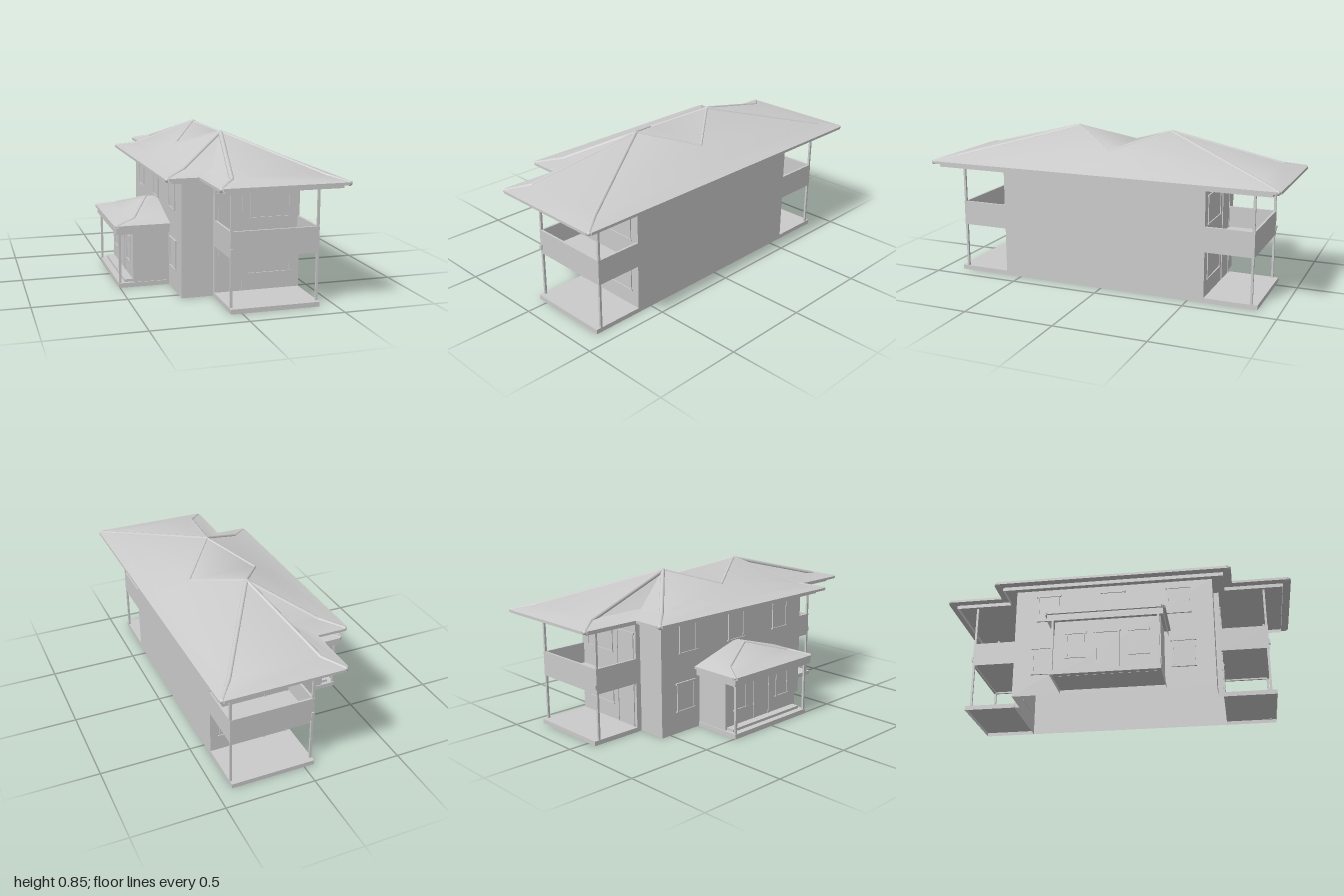
import * as THREE from 'three';
import { toCreasedNormals } from 'three/addons/utils/BufferGeometryUtils.js';

const material = new THREE.MeshStandardMaterial({ color: 0xcccccc, side: THREE.DoubleSide });

function add(parent, name, geometry) {
  const mesh = new THREE.Mesh(geometry, material);
  mesh.name = name;
  parent.add(mesh);
  return mesh;
}

// Box given by its minimum and maximum on each axis
function box(parent, name, x0, x1, y0, y1, z0, z1) {
  const mesh = add(parent, name, new THREE.BoxGeometry(x1 - x0, y1 - y0, z1 - z0));
  mesh.position.set((x0 + x1) / 2, (y0 + y1) / 2, (z0 + z1) / 2);
}

function surface(parent, name, positions) {
  const geometry = new THREE.BufferGeometry();
  geometry.setAttribute('position', new THREE.Float32BufferAttribute(positions, 3));
  add(parent, name, toCreasedNormals(geometry, 0.7));
}

// Upright walls around an [x, z] outline (counter-clockwise from above), open at top and bottom
function shell(parent, name, outline, y0, y1) {
  const positions = [];
  outline.forEach(([ax, az], i) => {
    const [bx, bz] = outline[(i + 1) % outline.length];
    positions.push(ax, y0, az, bx, y0, bz, bx, y1, bz, ax, y0, az, bx, y1, bz, ax, y1, az);
  });
  surface(parent, name, positions);
}

const rectangle = (x0, x1, z0, z1) => [[x1, z1], [x1, z0], [x0, z0], [x0, z1]];

// Paving with rims that is hollow below
function tray(parent, name, x0, x1, y0, y1, z0, z1) {
  box(parent, name + 'Top', x0, x1, y1 - 0.004, y1, z0, z1);
  shell(parent, name + 'Rim', rectangle(x0, x1, z0, z1), y0, y1);
}

// Horizontal slab from an [x, z] outline
function slab(parent, name, outline, y0, y1) {
  const shape = new THREE.Shape(outline.map(([x, z]) => new THREE.Vector2(x, -z)));
  const geometry = new THREE.ExtrudeGeometry(shape, { depth: y1 - y0, bevelEnabled: false });
  add(parent, name, geometry.rotateX(-Math.PI / 2).translate(0, y0, 0));
}

// Roof planes listed for z >= 0, mirrored to z <= 0, all turned to face upwards
function roofSurface(parent, name, polygons) {
  const positions = [];
  const a = new THREE.Vector3(), b = new THREE.Vector3();
  for (const side of [1, -1]) {
    for (const polygon of polygons) {
      const p = polygon.map(([x, y, z]) => new THREE.Vector3(x, y, z * side));
      for (let i = 1; i < p.length - 1; i++) {
        const up = a.subVectors(p[i], p[0]).cross(b.subVectors(p[i + 1], p[0])).y > 0;
        const triangle = up ? [p[0], p[i], p[i + 1]] : [p[0], p[i + 1], p[i]];
        triangle.forEach(v => positions.push(v.x, v.y, v.z));
      }
    }
  }
  surface(parent, name, positions);
}

// Rounded caps along a line of points, on both mirrored halves
function hipCap(parent, points, radius) {
  for (const side of [1, -1]) {
    const p = points.map(([x, y, z]) => new THREE.Vector3(x, y - radius * 0.6, z * side));
    p.forEach((v, i) => {
      add(parent, 'hipCapJoint', new THREE.SphereGeometry(radius, 12, 8)).position.copy(v);
      if (i) {
        const line = new THREE.LineCurve3(p[i - 1], v);
        add(parent, 'hipCap', new THREE.TubeGeometry(line, 1, radius, 12));
      }
    });
  }
}

// Framed opening standing on y = 0 of its group and facing +z
function opening(parent, name, w, h, isDoor) {
  const group = new THREE.Group();
  group.name = name;
  const t = 0.008;
  box(group, 'pane', -w / 2, w / 2, 0, h, 0, 0.003);
  for (const s of [-1, 1]) {
    const x = s * (w / 2 - t / 2);
    box(group, 'jamb', x - t / 2, x + t / 2, 0, h, 0, 0.007);
  }
  box(group, 'head', -w / 2 - 0.008, w / 2 + 0.008, h - 0.011, h, 0, 0.009);
  if (!isDoor) box(group, 'sill', -w / 2 - 0.006, w / 2 + 0.006, 0, 0.007, 0, 0.009);
  parent.add(group);
  return group;
}

function mainRoof(parent) {
  const cut = 0.022, eaveY = 0.657;
  const peak = [0.07, 0.84, 0.28];
  const b1 = [0.43, 0.683, 0.88], b2 = [-0.06, 0.683, 0.88], b3 = [-0.22, 0.683, 0.55];
  // Each eave corner is cut off: a lies on the side eave, c on the end eave
  const a1 = [0.525, eaveY, 1 - cut], c1 = [0.525 - cut, eaveY, 1];
  const a2 = [-0.16, eaveY, 1 - cut], c2 = [-0.16 + cut, eaveY, 1];
  const a3 = [-0.34, eaveY, 0.67 - cut], c3 = [-0.34 + cut, eaveY, 0.67];
  const innerEave = [-0.16, eaveY, 0.67], innerBend = [-0.06, 0.683, 0.55];
  const v1 = [0.29, 0.748, 0], v2 = [-0.11, 0.748, 0];
  const mid = ([x, y]) => [x, y, 0];
  roofSurface(parent, 'mainRoof', [
    [a1, b1, mid(b1), mid(a1)], [b1, peak, v1, mid(b1)], [a1, c1, b1],
    [c1, c2, b2, b1], [b1, b2, peak], [c2, a2, b2],
    [a2, innerEave, innerBend, b2], [b2, innerBend, peak],
    [innerEave, c3, b3, innerBend], [innerBend, b3, peak], [c3, a3, b3],
    [a3, mid(a3), mid(b3), b3], [b3, mid(b3), v2, peak],
    [peak, v2, v1],
  ]);
  // Caps end just inside the cut corners
  hipCap(parent, [[0.509, 0.658, 0.983], b1, peak], 0.013);
  hipCap(parent, [[-0.144, 0.658, 0.983], b2, peak], 0.013);
  hipCap(parent, [[-0.324, 0.658, 0.654], b3, peak], 0.013);
  hipCap(parent, [v1, peak, v2], 0.008);

  const half = [a1, c1, c2, a2, innerEave, c3, a3].map(([x, , z]) => [x, z]);
  const mirrored = half.map(([x, z]) => [x, -z]).reverse();
  slab(parent, 'eave', [...half, ...mirrored].reverse(), 0.643, eaveY);
  shell(parent, 'fascia', [
    [0.495, 0.955], [0.495, -0.955], [-0.115, -0.955], [-0.115, -0.625],
    [-0.295, -0.625], [-0.295, 0.625], [-0.115, 0.625], [-0.115, 0.955],
  ], 0.622, 0.643);
}

// Two-storey veranda on the +z end (s = 1) or the -z end (s = -1)
function veranda(parent, s) {
  const place = (make, name, x0, x1, y0, y1, z0, z1) =>
    make(parent, name, x0, x1, y0, y1, Math.min(s * z0, s * z1), Math.max(s * z0, s * z1));
  place(tray, 'verandaSlab', -0.058, 0.415, 0, 0.025, 0.59, 0.88);
  place(box, 'balconyFloor', -0.055, 0.415, 0.285, 0.296, 0.585, 0.85);
  place(box, 'balconyFrontParapet', -0.055, 0.415, 0.276, 0.413, 0.843, 0.855);
  place(box, 'balconySpout', -0.056, -0.04, 0.3, 0.328, 0.85, 0.862);
  for (const x of [-0.055, 0.403]) {
    place(box, 'balconySideParapet', x, x + 0.012, 0.276, 0.413, 0.585, 0.855);
    place(box, 'verandaColumn', x, x + 0.012, 0.02, 0.645, 0.841, 0.853);
  }
  // Doors and windows of both floors
  const specs = [
    ['verandaDoor', 0.033, 0.025, 0.14, 0.247, true],
    ['verandaWindow', 0.252, 0.112, 0.225, 0.16, false],
    ['balconyDoor', 0.033, 0.296, 0.14, 0.259, true],
    ['balconyWindow', 0.252, 0.412, 0.225, 0.16, false],
  ];
  for (const [name, x, y, w, h, isDoor] of specs) {
    const item = opening(parent, name, w, h, isDoor);
    item.position.set(x, y, s * 0.588);
    if (s < 0) item.rotation.y = Math.PI;
  }
}

function entrancePorch(parent) {
  tray(parent, 'porchBase', -0.505, -0.225, 0, 0.025, -0.29, 0.29);
  box(parent, 'porchStep', -0.47, -0.42, 0.025, 0.04, -0.27, 0.27);
  shell(parent, 'porchRoom', rectangle(-0.425, -0.225, -0.285, 0.285), 0.02, 0.336);
  for (const z of [-0.28, 0.28]) box(parent, 'porchColumn', -0.503, -0.491, 0.02, 0.336, z - 0.006, z + 0.006);
  shell(parent, 'porchFascia', rectangle(-0.518, -0.225, -0.308, 0.308), 0.3, 0.336);
  const cut = 0.02;
  const a = [-0.53, 0.35, 0.32 - cut], c = [-0.53 + cut, 0.35, 0.32], b = [-0.41, 0.374, 0.24];
  const apex = [-0.29, 0.445, 0];
  const wallE = [-0.225, 0.35, 0.32], wallB = [-0.225, 0.374, 0.24], wallTop = [-0.225, 0.445, 0];
  slab(parent, 'porchEave', [
    [-0.225, 0.32], [-0.225, -0.32], [c[0], -0.32], [-0.53, -a[2]], [-0.53, a[2]], [c[0], 0.32],
  ], 0.336, 0.35);
  roofSurface(parent, 'porchRoof', [
    [a, [-0.53, 0.35, 0], [-0.41, 0.374, 0], b], [b, [-0.41, 0.374, 0], apex], [a, c, b],
    [c, b, wallB, wallE], [b, apex, wallTop, wallB],
  ]);
  hipCap(parent, [[-0.515, 0.352, 0.306], b, apex], 0.009);
  for (const [name, z, y, w, h, isDoor] of [
    ['entranceDoor', 0, 0.04, 0.13, 0.23, true],
    ['porchWindow', 0.17, 0.12, 0.1, 0.15, false],
    ['porchWindow', -0.17, 0.12, 0.1, 0.15, false],
  ]) {
    const item = opening(parent, name, w, h, isDoor);
    item.position.set(-0.422, y, z);
    item.rotation.y = -Math.PI / 2;
  }
}

export function createModel() {
  const house = new THREE.Group();
  house.name = 'house';

  // Hollow outer walls of the main body and side wing
  shell(house, 'walls', [
    [0.415, 0.59], [0.415, -0.59], [-0.055, -0.59], [-0.055, -0.56],
    [-0.225, -0.56], [-0.225, 0.56], [-0.055, 0.56], [-0.055, 0.59],
  ], 0, 0.643);

  // Wing windows on both floors
  for (const [y, zs] of [[0.12, [-0.39, 0.39]], [0.443, [-0.37, 0, 0.37]]]) {
    for (const z of zs) {
      const item = opening(house, 'wingWindow', 0.125, 0.165, false);
      item.position.set(-0.225, y, z);
      item.rotation.y = -Math.PI / 2;
    }
  }

  veranda(house, 1);
  veranda(house, -1);
  entrancePorch(house);
  mainRoof(house);
  return house;
}
